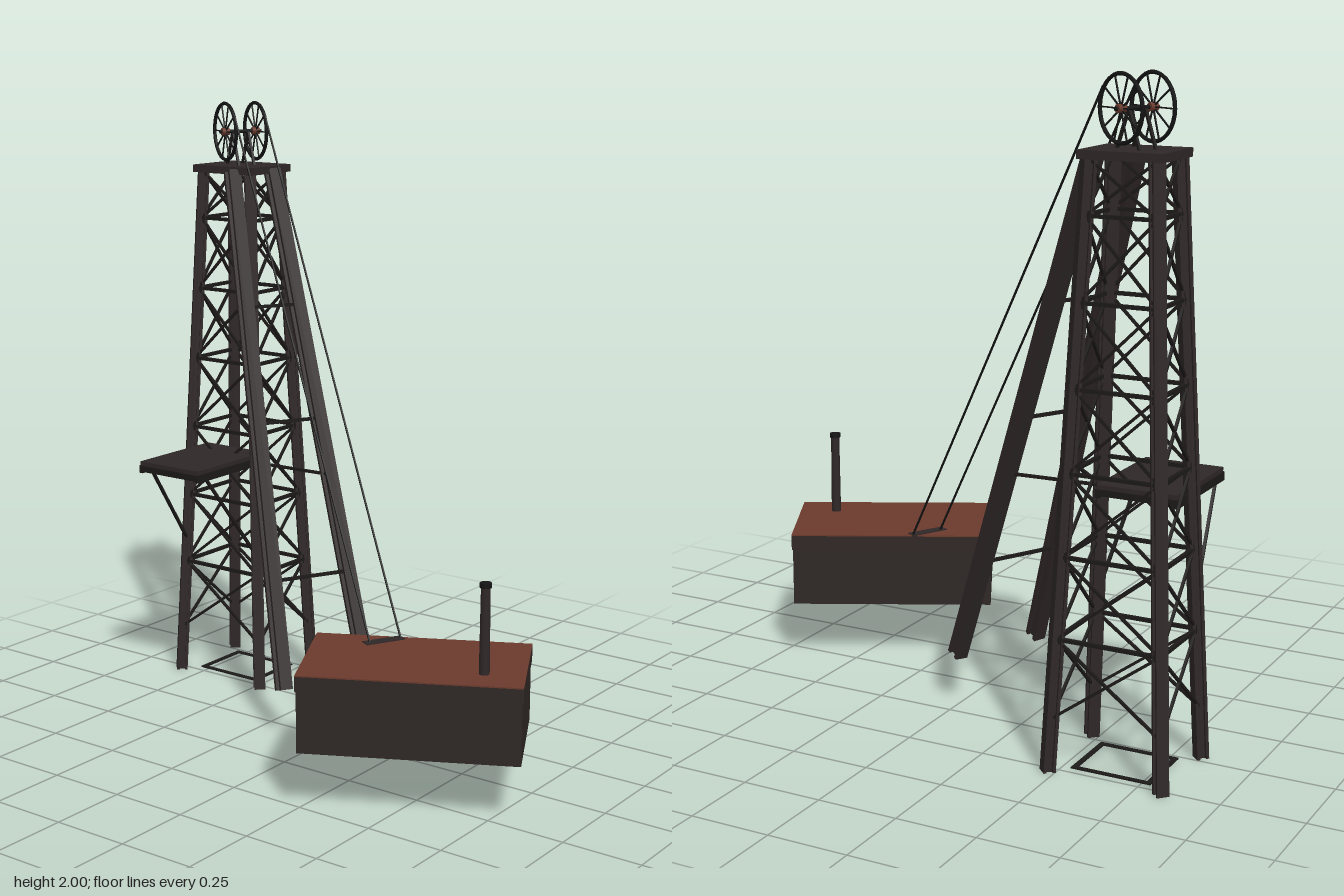
import * as THREE from 'three';

const mat = (name, color) => {
  const m = new THREE.MeshStandardMaterial({ color });
  m.name = name;
  return m;
};
const V = (x, y, z) => new THREE.Vector3(x, y, z);

export function createModel() {
  const root = new THREE.Group();
  root.name = 'mineHeadframe';
  const steel = mat('dark steel', 0x2f2727);
  const brace = mat('bracing iron', 0x1d1919);
  const black = mat('wheel black', 0x161515);
  const rust = mat('rust', 0x6b3a2c);
  const wall = mat('shed wall', 0x2f2726);

  const group = (name, parent = root) => {
    const g = new THREE.Group();
    g.name = name;
    parent.add(g);
    return g;
  };
  const add = (parent, name, geo, material, x = 0, y = 0, z = 0) => {
    const m = new THREE.Mesh(geo, material);
    m.name = name;
    m.position.set(x, y, z);
    parent.add(m);
    return m;
  };

  // Turn a part so its z runs from a to b and its x faces ref
  const align = (m, a, b, ref) => {
    const z = b.clone().sub(a).normalize();
    const y = z.clone().cross(ref).normalize();
    const x = y.clone().cross(z);
    m.quaternion.setFromRotationMatrix(new THREE.Matrix4().makeBasis(x, y, z));
    return m;
  };
  const bar = (parent, name, a, b, t, material = brace) => {
    const ref = Math.abs(b.y - a.y) > a.distanceTo(b) * 0.95 ? V(1, 0, 0) : V(0, 1, 0);
    const m = add(parent, name, new THREE.BoxGeometry(t, t, a.distanceTo(b)), material);
    m.position.copy(a).lerp(b, 0.5);
    return align(m, a, b, ref);
  };
  // Rolled beam with a shallow channel down both sides
  const beam = (parent, name, a, b, w, h, ref) => {
    const s = new THREE.Shape();
    const X = w / 2, Y = h / 2, f = X * 0.5, c = Y * 0.45;
    [[-X, -Y], [-f, -Y], [-f, -c], [f, -c], [f, -Y], [X, -Y],
      [X, Y], [f, Y], [f, c], [-f, c], [-f, Y], [-X, Y]]
      .forEach(([x, y], i) => (i ? s.lineTo(x, y) : s.moveTo(x, y)));
    const geo = new THREE.ExtrudeGeometry(s, { depth: a.distanceTo(b), bevelEnabled: false });
    const m = add(parent, name, geo, steel);
    m.position.copy(a);
    return align(m, a, b, ref);
  };

  // Tower: four splayed legs with braced faces
  const CX = -0.654, CZ = -0.374, TOP = 1.77;
  const corners = [[-1, 1], [1, 1], [1, -1], [-1, -1]];
  const legAt = ([sx, sz], y) => {
    const t = y / TOP;
    return V(CX + sx * (0.177 - 0.077 * t), y, CZ + sz * (0.15 - 0.07 * t));
  };
  const tower = group('tower');
  corners.forEach((c) => beam(tower, 'towerLeg', legAt(c, 0), legAt(c, TOP), 0.037, 0.037, V(c[0], 0, c[1])));
  const levels = [0.16, 0.4, 0.643, 0.886, 1.127, 1.37, 1.61, 1.765];
  corners.forEach((c, i) => {
    const d = corners[(i + 1) % 4];
    levels.forEach((y, k) => {
      if (k > 0 && k < 7) bar(tower, 'girt', legAt(c, y), legAt(d, y), 0.011);
      if (k === 7) return;
      bar(tower, 'crossBrace', legAt(c, y), legAt(d, levels[k + 1]), 0.008);
      bar(tower, 'crossBrace', legAt(d, y), legAt(c, levels[k + 1]), 0.008);
    });
  });
  add(tower, 'topDeck', new THREE.BoxGeometry(0.254, 0.025, 0.21), steel, CX, 1.777, CZ);
  for (const s of [-1, 1]) {
    add(tower, 'baseFrame', new THREE.BoxGeometry(0.25, 0.004, 0.016), brace, CX, 0.003, CZ + s * 0.097);
    add(tower, 'baseFrame', new THREE.BoxGeometry(0.016, 0.004, 0.19), brace, CX + s * 0.117, 0.003, CZ);
  }

  // Side landing with bracket struts
  const landing = group('landing');
  add(landing, 'landingDeck', new THREE.BoxGeometry(0.25, 0.014, 0.355), steel, CX, 0.809, -0.148);
  for (const s of [-1, 1]) {
    add(landing, 'landingBeam', new THREE.BoxGeometry(0.014, 0.026, 0.36), brace, CX + s * 0.122, 0.789, -0.15);
    bar(landing, 'landingBracket', V(CX + s * 0.12, 0.78, -0.02), V(CX + s * 0.15, 0.49, -0.23), 0.009);
  }
  for (const z of [0.028, -0.1, -0.22, -0.32]) {
    add(landing, 'landingJoist', new THREE.BoxGeometry(0.25, 0.02, 0.012), brace, CX, 0.792, z);
  }

  // Two raking back legs with rungs and ties
  const dir = V(Math.cos(0.49), 0, Math.sin(0.49));
  const side = V(-dir.z, 0, dir.x);
  const rake = group('rakingLegs');
  const legs = [
    [V(-0.612, 1.775, -0.272), V(-0.13, 0.16, 0.083)],
    [V(-0.54, 1.775, -0.395), V(0.008, 0.16, -0.185)],
  ];
  legs.forEach(([a, b]) => beam(rake, 'rakingLeg', b, a, 0.05, 0.042, dir));
  const rakeAt = (i, y) => legs[i][0].clone().lerp(legs[i][1], (1.775 - y) / 1.615);
  for (const y of [0.49, 0.975, 1.34]) bar(rake, 'rung', rakeAt(0, y), rakeAt(1, y), 0.01);
  bar(rake, 'tie', legAt([1, 1], 0.795), rakeAt(0, 0.795), 0.009);
  bar(rake, 'tie', legAt([1, 1], 0.795), rakeAt(1, 0.795), 0.009);

  // Twin winding wheels on a common axle, turned toward the shed
  const wheels = group('windingWheels');
  wheels.position.set(CX - 0.004, 1.9, CZ);
  wheels.rotation.y = -0.49;
  for (const s of [-1, 1]) {
    const w = group('wheel', wheels);
    w.position.z = s * 0.055;
    add(w, 'rim', new THREE.TorusGeometry(0.094, 0.006, 6, 32), black);
    for (let i = 0; i < 5; i++) {
      add(w, 'spoke', new THREE.BoxGeometry(0.186, 0.004, 0.004), black).rotation.z = (i * Math.PI) / 5;
    }
    add(w, 'hub', new THREE.CylinderGeometry(0.012, 0.012, 0.026, 12), rust).rotation.x = Math.PI / 2;
    for (const q of [-1, 1]) {
      bar(wheels, 'bearingLeg', V(q * 0.05, -0.112, s * 0.028), V(0, 0, s * 0.028), 0.008);
    }
  }
  add(wheels, 'axle', new THREE.CylinderGeometry(0.006, 0.006, 0.15, 8), black).rotation.x = Math.PI / 2;

  // Hoist ropes from wheel rims to the roof slot
  [[1, 0.278, 0.18], [-1, 0.33, 0.09]].forEach(([s, x, z]) => {
    const start = V(CX - 0.004, 1.957, CZ).addScaledVector(side, s * 0.055).addScaledVector(dir, 0.08);
    bar(root, 'hoistRope', start, V(x, 0.425, z), 0.005, black);
  });

  // Winding shed with rusted roof and chimney
  const shed = group('windingShed');
  shed.position.set(0.476, 0, 0.224);
  shed.rotation.y = 0.474;
  add(shed, 'walls', new THREE.BoxGeometry(0.655, 0.19, 0.387), wall, 0, 0.285, 0);
  add(shed, 'eaves', new THREE.BoxGeometry(0.662, 0.048, 0.394), wall, 0, 0.402, 0);
  add(shed, 'roofSheet', new THREE.BoxGeometry(0.662, 0.004, 0.394), rust, 0, 0.428, 0);
  const slot = add(root, 'ropeSlot', new THREE.BoxGeometry(0.035, 0.005, 0.13), steel, 0.302, 0.43, 0.142);
  slot.rotation.y = -0.49;
  const chimney = group('chimney');
  chimney.position.set(0.705, 0, 0.212);
  add(chimney, 'stack', new THREE.CylinderGeometry(0.014, 0.016, 0.275, 14), steel, 0, 0.562, 0);
  add(chimney, 'stackCap', new THREE.CylinderGeometry(0.018, 0.018, 0.014, 14), black, 0, 0.698, 0);

  return root;
}
